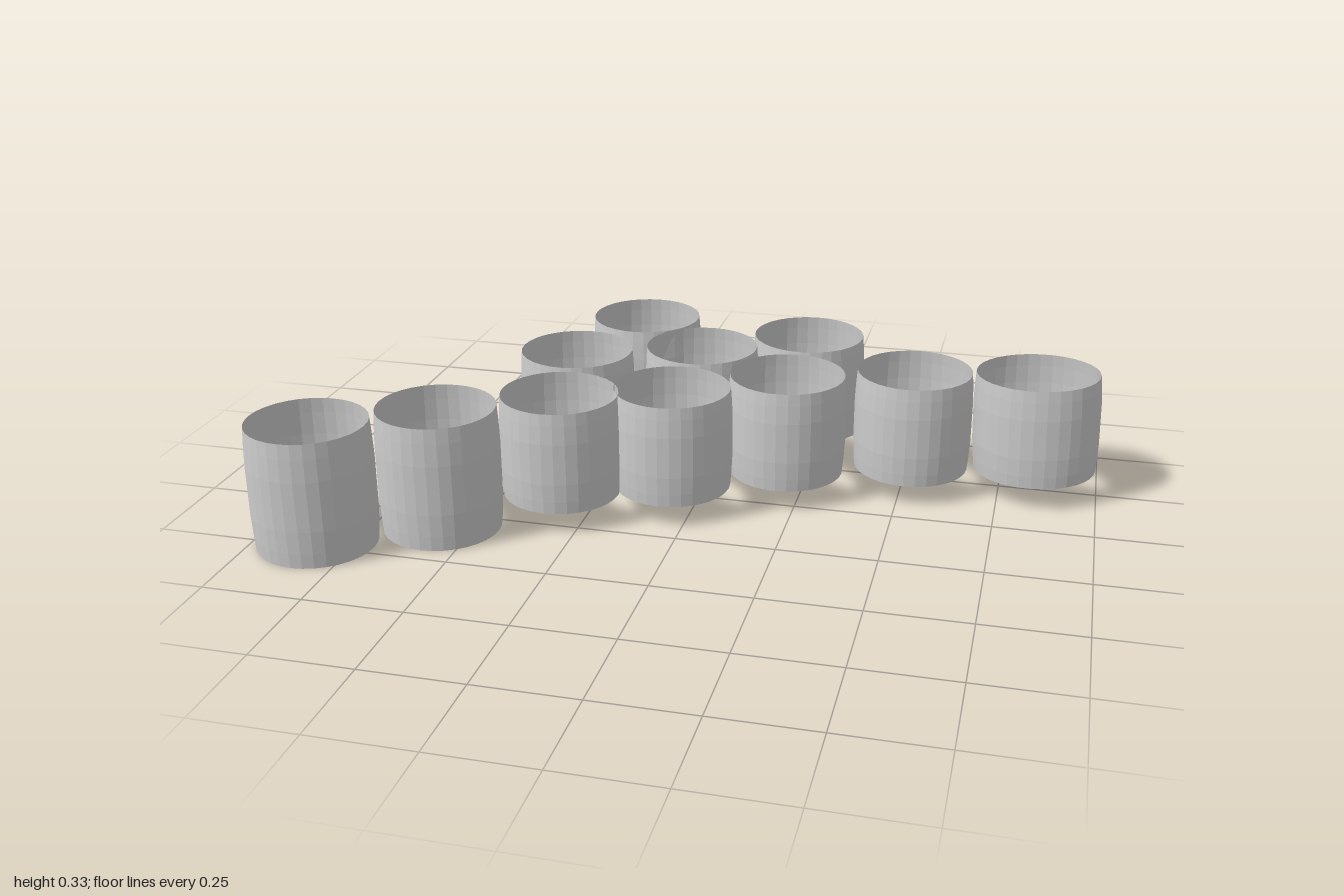
import * as THREE from 'three';

const material = new THREE.MeshStandardMaterial({
  color: 0xcccccc, flatShading: true, side: THREE.DoubleSide,
});

// Thin open sleeve, slightly drawn in towards both rims
function sleeve(height, radius = 0.152) {
  const profile = [[0, 0.968], [0.12, 0.985], [0.3, 1], [0.7, 1], [0.88, 0.985], [1, 0.968]]
    .map(([t, r]) => new THREE.Vector2(r * radius, (t - 0.5) * height));
  return new THREE.LatheGeometry(profile, 32);
}

export function createModel() {
  const group = new THREE.Group();
  group.name = 'tubeCluster';
  const top = 0.318;

  function addTube(name, x, z, bottom) {
    const tube = new THREE.Mesh(sleeve(top - bottom), material);
    tube.name = name;
    tube.position.set(x, (top + bottom) / 2, z);
    group.add(tube);
    return tube;
  }

  // Two tall tubes at the right end of the row
  [[-0.845, 0.468], [-0.583, 0.31]]
    .forEach(([x, z], i) => addTube(`tallTube${i + 1}`, x, z, 0));

  // Shorter tubes
  [
    [-0.32, 0.153], [-0.058, 0.048], [0.206, -0.11], [-0.057, -0.268],
    [0.206, -0.425], [-0.267, -0.478], [-0.374, -0.163], [0.519, -0.215],
  ].forEach(([x, z], i) => addTube(`shortTube${i + 1}`, x, z, 0.055));

  // End tube: slightly oval and tilted
  const end = addTube('ovalEndTube', 0.832, -0.257, 0.055);
  end.position.y = 0.192;
  end.scale.set(1.06, 1, 0.95);
  end.rotation.z = 0.03;

  return group;
}
